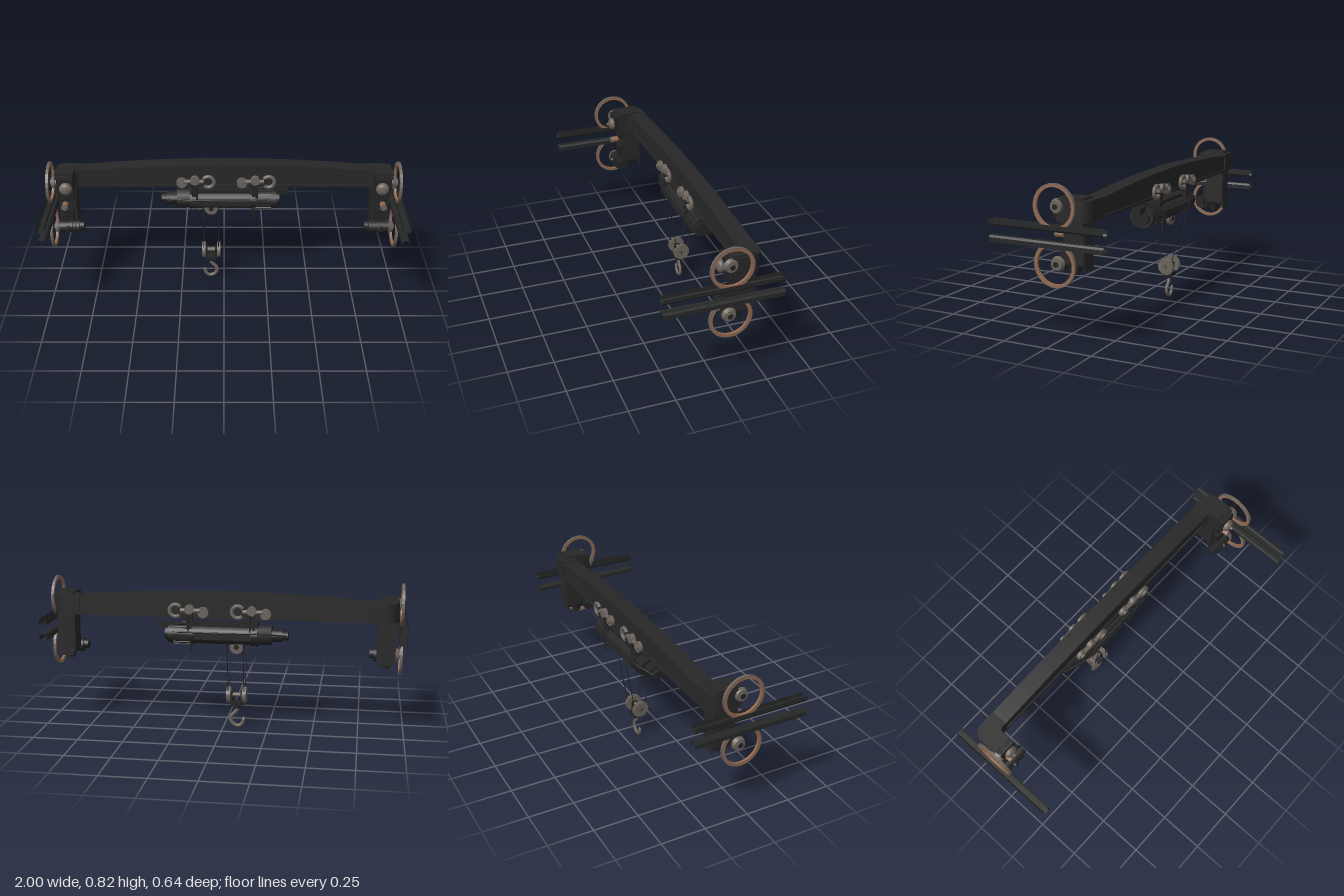
import * as THREE from 'three';

const mat = (name, color, side = THREE.FrontSide) => {
  const m = new THREE.MeshStandardMaterial({ color, side });
  m.name = name;
  return m;
};

export function createModel() {
  const model = new THREE.Group();
  model.name = 'bridgeCrane';
  const dark = mat('darkPaint', 0x262726);
  const black = mat('blackIron', 0x232323);
  const rail = mat('railSteel', 0x262727, THREE.DoubleSide);
  const steel = mat('wornSteel', 0x6b635c);
  const copper = mat('copper', 0x936950);

  let parent = model;
  const group = (name) => {
    parent = new THREE.Group();
    parent.name = name;
    model.add(parent);
  };
  const add = (name, geo, m, x = 0, y = 0, z = 0) => {
    const mesh = new THREE.Mesh(geo, m);
    mesh.name = name;
    mesh.position.set(x, y, z);
    parent.add(mesh);
    return mesh;
  };
  const box = (name, m, w, h, d, x, y, z) => add(name, new THREE.BoxGeometry(w, h, d), m, x, y, z);
  // Cylinder whose first radius faces the positive end of the axis
  const cyl = (name, m, axis, r1, r2, len, x, y, z, seg = 20) => {
    const g = new THREE.CylinderGeometry(r1, r2, len, seg);
    if (axis === 'x') g.rotateZ(-Math.PI / 2);
    if (axis === 'z') g.rotateX(Math.PI / 2);
    return add(name, g, m, x, y, z);
  };
  const tube = (name, m, pts, r, seg = 24) => add(name, new THREE.TubeGeometry(
    new THREE.CatmullRomCurve3(pts.map((p) => new THREE.Vector3(...p))), seg, r, 8), m);
  const extrude = (shape, depth) => new THREE.ExtrudeGeometry(shape, { depth, bevelEnabled: false, curveSegments: 12 });
  // Square-section ring around the x axis
  const band = (name, m, inner, outer, half, x, y, z) => {
    const pts = [[inner, -half], [outer, -half], [outer, half], [inner, half], [inner, -half]];
    const g = new THREE.LatheGeometry(pts.map((q) => new THREE.Vector2(...q)), 28).toNonIndexed();
    g.computeVertexNormals();
    g.rotateZ(-Math.PI / 2);
    add(name, g, m, x, y, z);
  };

  // Arched girder: recessed web between wider flanges
  group('girder');
  const beamTop = (x) => 0.728 + 0.042 * (1 - (x / 0.86) ** 2);
  const beamSlice = (low, high) => {
    const lower = [], upper = [];
    for (let i = 0; i <= 20; i++) {
      const x = -0.86 + 0.086 * i;
      lower.push(new THREE.Vector2(x, low(x)));
      upper.unshift(new THREE.Vector2(x, high(x)));
    }
    return new THREE.Shape([...lower, ...upper]);
  };
  add('web', extrude(beamSlice(() => 0.64, (x) => beamTop(x) - 0.005), 0.076), dark, 0, 0, -0.207);
  add('topFlange', extrude(beamSlice((x) => beamTop(x) - 0.014, beamTop), 0.092), dark, 0, 0.001, -0.215);
  box('bottomFlange', dark, 1.72, 0.014, 0.092, 0, 0.64, -0.169);

  for (const s of [1, -1]) {
    group(s > 0 ? 'leftEndCarriage' : 'rightEndCarriage');
    // Rounded elbow carrying the girder forward, drawn in plan
    const p = new THREE.Shape();
    p.moveTo(s * 0.8, 0.215);
    p.lineTo(s * 0.88, 0.215);
    p.quadraticCurveTo(s * 0.953, 0.215, s * 0.953, 0.14);
    p.lineTo(s * 0.953, 0.04);
    p.lineTo(s * 0.845, 0.04);
    p.lineTo(s * 0.845, 0.1);
    p.quadraticCurveTo(s * 0.845, 0.125, s * 0.8, 0.125);
    const elbow = add('elbow', extrude(p, 0.107), dark, 0, 0.633, 0);
    elbow.rotation.x = -Math.PI / 2;
    box('elbowCap', dark, 0.1, 0.012, 0.13, s * 0.895, 0.744, -0.115);

    // Leg with rounded foot
    const leg = new THREE.Shape();
    leg.moveTo(-0.05, 0.64);
    leg.lineTo(-0.05, 0.43);
    leg.quadraticCurveTo(-0.05, 0.405, -0.025, 0.405);
    leg.lineTo(0.025, 0.405);
    leg.quadraticCurveTo(0.05, 0.405, 0.05, 0.43);
    leg.lineTo(0.05, 0.64);
    add('leg', extrude(leg, 0.105), dark, s * 0.89, 0, -0.18);
    box('legRearPlate', dark, 0.08, 0.22, 0.008, s * 0.89, 0.5, -0.18);
    box('legBracket', black, 0.085, 0.05, 0.035, s * 0.89, 0.605, -0.065);
    box('legMotor', black, 0.065, 0.07, 0.03, s * 0.89, 0.49, -0.062);
    cyl('footPin', black, 'y', 0.03, 0.024, 0.045, s * 0.89, 0.387, -0.105);

    // Upper gearbox with domed front cover
    box('upperGearbox', black, 0.09, 0.09, 0.03, s * 0.89, 0.69, -0.035);
    cyl('gearCoverBase', steel, 'z', 0.036, 0.036, 0.02, s * 0.885, 0.677, -0.018);
    const dome = add('gearCover', new THREE.SphereGeometry(0.036, 20, 12), steel, s * 0.885, 0.677, -0.01);
    dome.scale.z = 0.55;
    cyl('coverNub', steel, 'z', 0.007, 0.009, 0.02, s * 0.885, 0.677, 0.012, 10);

    // Lower drive motor lying crosswise
    cyl('driveMotor', black, 'x', 0.034, 0.034, 0.11, s * 0.885, 0.42, -0.045);
    cyl('driveMotorCap', black, 'x', 0.026, 0.026, 0.14, s * 0.87, 0.425, -0.045);
    for (const x of [0.83, 0.85, 0.87]) cyl('driveMotorRib', black, 'x', 0.039, 0.039, 0.007, s * x, 0.42, -0.045);
    cyl('driveNose', black, 'z', 0.012, 0.025, 0.03, s * 0.89, 0.42, -0.015);

    // Guide roller between the rails
    cyl('guideRoller', copper, 'z', 0.017, 0.017, 0.044, s * 0.9, 0.56, -0.031);
    cyl('guideRollerCap', steel, 'z', 0.018, 0.018, 0.004, s * 0.9, 0.56, -0.008);
    cyl('guideRollerPin', steel, 'z', 0.009, 0.009, 0.04, s * 0.9, 0.56, -0.07, 10);

    // Wheel rims with worn tread, axles and hubs
    for (const y of [0.705, 0.421]) {
      band('wheelRim', copper, 0.097, 0.112, 0.007, s * 0.972, y, -0.041);
      band('wheelTread', steel, 0.111, 0.1155, 0.0075, s * 0.972, y, -0.041);
      cyl('wheelAxle', steel, 'x', 0.017, 0.017, 0.07, s * 0.935, y, -0.043, 12);
      const [a, b] = s > 0 ? [0.03, 0.039] : [0.039, 0.03];
      cyl('wheelHub', steel, 'x', a, b, 0.02, s * 0.955, y, -0.043);
      cyl('hubNut', black, 'x', 0.015, 0.015, 0.008, s * 0.968, y, -0.043, 8);
    }

    // Thin channel rails, one above and one inverted below
    const profile = [[-0.021, 0.035], [-0.021, 0.012], [-0.014, 0.002], [0.014, 0.002], [0.021, 0.012], [0.021, 0.035]];
    for (const [name, y, dir] of [['upperRail', 0.585, 1], ['lowerRail', 0.54, -1]]) {
      let g = new THREE.PlaneGeometry(1, 0.64, 5, 1);
      const pos = g.attributes.position;
      for (let i = 0; i < pos.count; i++) {
        const [px, py] = profile[i % 6];
        pos.setXYZ(i, px, dir * py, pos.getY(i));
      }
      g = g.toNonIndexed();
      g.computeVertexNormals();
      add(name, g, rail, s * 0.979, y, 0);
    }
  }

  // Trolley hangers: wheels and open shackles on both faces of the girder
  for (const x of [-0.17, 0.172]) {
    group('trolleyHanger');
    for (const f of [1, -1]) {
      const z = (d) => -0.169 + f * d;
      box('strap', black, 0.024, 0.13, 0.008, x, 0.64, z(0.056));
      cyl('trolleyWheel', steel, 'z', 0.03, 0.03, 0.02, x - 0.07, 0.668, z(0.062));
      cyl('trolleyWheelCap', steel, 'z', 0.016, 0.016, 0.034, x - 0.07, 0.668, z(0.065));
      cyl('crossPin', steel, 'x', 0.012, 0.012, 0.11, x, 0.678, z(0.066), 12);
      cyl('pinBoss', steel, 'z', 0.026, 0.026, 0.026, x + 0.005, 0.684, z(0.066));
      const ring = new THREE.TorusGeometry(0.033, 0.011, 8, 24, Math.PI * 1.55);
      ring.rotateZ(-Math.PI * 0.775);
      add('shackle', ring, steel, x + 0.08, 0.677, z(0.07));
      cyl('hangerRod', black, 'y', 0.006, 0.006, 0.12, x + 0.015, 0.62, z(0.06), 8);
    }
    box('yoke', black, 0.05, 0.014, 0.13, x, 0.6, -0.169);
  }

  // Hoist: drum, gearbox and ribbed motor in a row
  group('hoist');
  const hy = 0.54, hz = -0.172;
  const round = (name, m, r, x0, x1, seg = 24) => {
    const mesh = cyl(name, m, 'x', r, r, x1 - x0, (x0 + x1) / 2, hy, hz, seg);
    mesh.scale.z = 1.25;
  };
  round('drum', dark, 0.056, -0.19, 0.17);
  for (const x of [-0.19, -0.165, 0.16]) round('drumCollar', black, 0.062, x - 0.006, x + 0.006);
  round('gearbox', black, 0.055, -0.27, -0.19, 8);
  round('brakeMotor', black, 0.036, -0.33, -0.26, 12);
  round('brakeCap', black, 0.025, -0.36, -0.32, 12);
  round('motorCore', dark, 0.056, 0.17, 0.3);
  for (let i = 0; i < 16; i++) {
    const a = i * Math.PI / 8;
    const rib = box('motorRib', black, 0.09, 0.01, 0.008, 0.225, hy + 0.058 * Math.sin(a), hz + 0.072 * Math.cos(a));
    rib.rotation.x = -a;
  }
  round('motorEnd', black, 0.04, 0.3, 0.318);
  box('controlBox', black, 0.075, 0.034, 0.05, 0.327, 0.585, hz);
  box('hoistSaddle', black, 0.36, 0.02, 0.08, 0, 0.593, hz);
  for (const f of [1, -1]) {
    box('ropeGuard', dark, 0.32, 0.04, 0.008, -0.01, 0.54, hz + f * 0.07);
    tube('guardRail', black, [[-0.35, 0.545, hz + f * 0.03], [-0.22, 0.56, hz + f * 0.075],
      [0, 0.56, hz + f * 0.085], [0.2, 0.56, hz + f * 0.08], [0.3, 0.55, hz + f * 0.04]], 0.004, 30);
    box('guardBracket', black, 0.012, 0.06, 0.008, 0.17, 0.48, hz + f * 0.066);
  }
  cyl('idlerSheave', steel, 'z', 0.038, 0.038, 0.02, -0.075, 0.468, hz);
  cyl('idlerPin', black, 'z', 0.014, 0.014, 0.03, -0.075, 0.468, hz);

  // Ropes, hook block and hook
  group('hookBlock');
  const bx = -0.077, bz = -0.165;
  for (const x of [-0.12, -0.032]) {
    tube('frontRope', black, [[x, 0.52, -0.09], [x, 0.37, -0.112], [x, 0.2, -0.136]], 0.0025, 4);
    tube('rearRope', black, [[x, 0.5, -0.25], [x, 0.37, -0.228], [x, 0.2, -0.198]], 0.0025, 4);
    cyl('sheave', steel, 'x', 0.048, 0.048, 0.01, x, 0.192, bz, 28);
    for (const d of [-0.008, 0.008]) cyl('sheaveCheek', steel, 'x', 0.044, 0.044, 0.006, x + d, 0.192, bz, 28);
    for (const a of [0, Math.PI / 2]) {
      for (const d of [-0.0115, 0.0115]) {
        const mark = box('sheaveMark', black, 0.001, 0.034, 0.003, x + d, 0.192, bz);
        mark.rotation.x = a;
      }
    }
    box('blockSide', black, 0.012, 0.07, 0.034, x + (x < bx ? 0.016 : -0.016), 0.17, bz);
  }
  cyl('blockAxle', steel, 'x', 0.012, 0.012, 0.1, bx, 0.192, bz, 12);
  box('crosshead', black, 0.066, 0.022, 0.056, bx, 0.142, bz);
  cyl('hookCollar', black, 'y', 0.02, 0.016, 0.018, bx, 0.125, bz, 12);
  const hook = tube('hook', steel, [[bx, 0.13, 0], [bx, 0.105, 0], [bx + 0.012, 0.088, 0], [bx + 0.031, 0.068, 0],
    [bx + 0.034, 0.042, 0], [bx + 0.018, 0.02, 0], [bx - 0.008, 0.0115, 0], [bx - 0.03, 0.026, 0],
    [bx - 0.036, 0.05, 0]], 0.0105, 32);
  hook.position.z = bz;
  hook.scale.z = 0.85;
  const tip = add('hookTip', new THREE.ConeGeometry(0.0105, 0.02, 8), steel, bx - 0.037, 0.06, bz);
  tip.scale.z = 0.85;
  return model;
}
